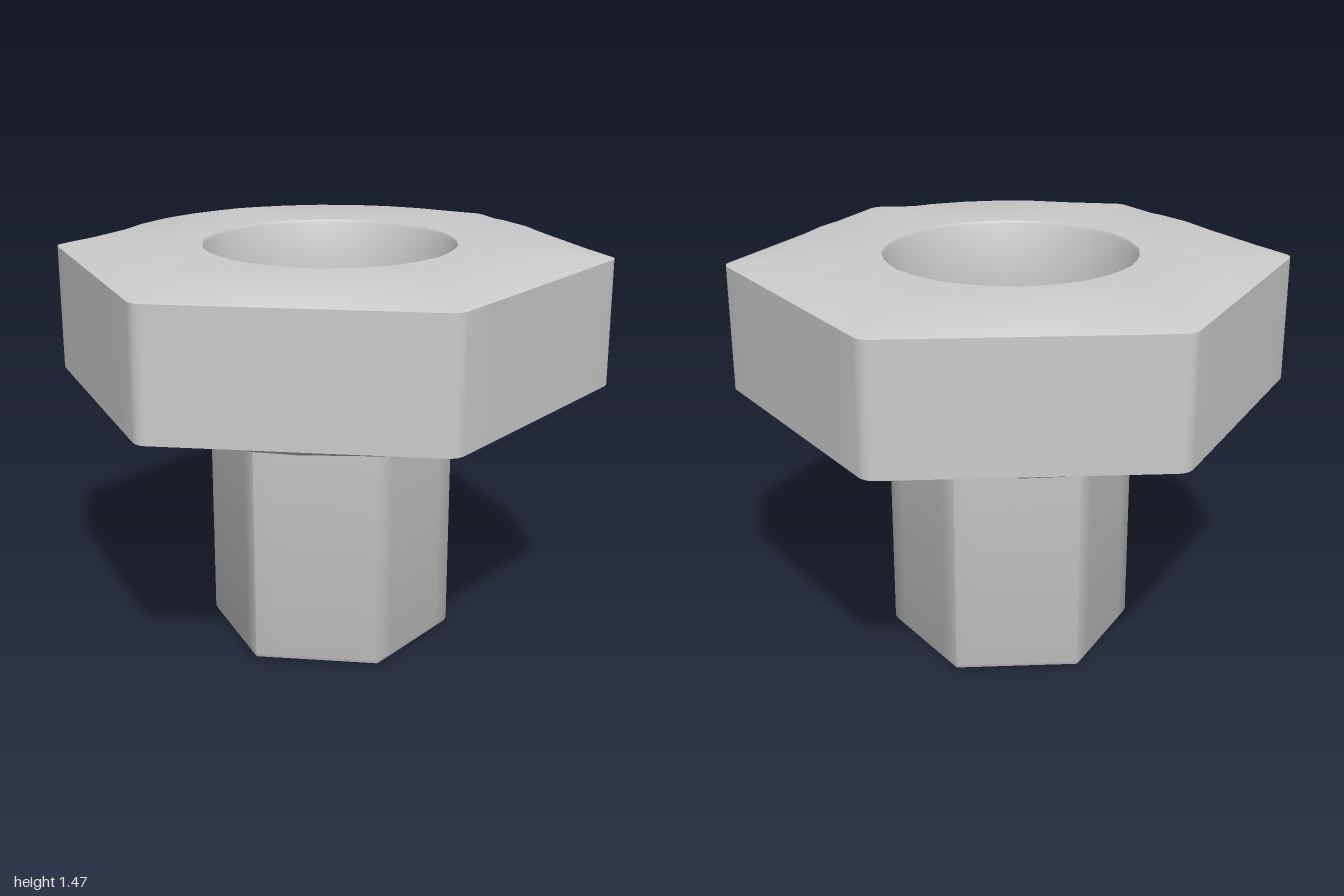
import * as THREE from 'three';
import { toCreasedNormals } from 'three/addons/utils/BufferGeometryUtils.js';

const CREASE = 0.7;
const HOLE_SIDES = 24;

// Hexagon outline with softened corners, one corner on +x
function roundedHex(apothem, r) {
  const points = [];
  const centre = (apothem - r) / Math.cos(Math.PI / 6);
  for (let i = 0; i < 6; i++) {
    const a = i * Math.PI / 3;
    for (let k = 0; k <= 4; k++) {
      const b = a - Math.PI / 6 + k * Math.PI / 12;
      points.push([centre * Math.cos(a) + r * Math.cos(b), centre * Math.sin(a) + r * Math.sin(b)]);
    }
    // extra points along the flat
    const [sx, sz] = points[points.length - 1];
    const n = a + Math.PI / 3;
    const ex = centre * Math.cos(n) + r * Math.cos(a + Math.PI / 6);
    const ez = centre * Math.sin(n) + r * Math.sin(a + Math.PI / 6);
    for (let k = 1; k < 6; k++) points.push([sx + (ex - sx) * k / 6, sz + (ez - sz) * k / 6]);
  }
  return points;
}

// Projects an outline onto a circle, or onto a regular polygon when sides are given
function project(outline, radius, sides) {
  return outline.map(([x, z]) => {
    const a = Math.atan2(z, x);
    let r = radius;
    if (sides) {
      const step = 2 * Math.PI / sides;
      const local = ((a % step) + step) % step - step / 2;
      r *= Math.cos(step / 2) / Math.cos(local);
    }
    return [r * Math.cos(a), r * Math.sin(a)];
  });
}

// Skin through closed rings of equal point count: [outline, y]
function loft(rings) {
  const n = rings[0][0].length;
  const positions = [], index = [];
  rings.forEach(([outline, y]) => outline.forEach(([x, z]) => positions.push(x, y, z)));
  for (let j = 0; j < rings.length - 1; j++) {
    for (let i = 0; i < n; i++) {
      const a = j * n + i, c = j * n + (i + 1) % n;
      index.push(a, a + n, c, a + n, c + n, c);
    }
  }
  const geometry = new THREE.BufferGeometry();
  geometry.setAttribute('position', new THREE.Float32BufferAttribute(positions, 3));
  geometry.setIndex(index);
  return toCreasedNormals(geometry, CREASE);
}

function recess(profile) {
  const points = profile.map(([x, y]) => new THREE.Vector2(x, y));
  return toCreasedNormals(new THREE.LatheGeometry(points, HOLE_SIDES), CREASE);
}

export function createModel() {
  const group = new THREE.Group();
  const material = new THREE.MeshStandardMaterial({ color: 0xcccccc });
  const add = (name, geometry) => {
    const mesh = new THREE.Mesh(geometry, material);
    mesh.name = name;
    group.add(mesh);
  };

  // Hexagonal head, chamfered from a circle out to the hexagon edge
  const hex = roundedHex(0.873, 0.06);
  const rim = project(hex, 0.457, HOLE_SIDES);
  const circle = project(hex, 0.8);
  add('head', loft([
    [rim, 0.94], [circle, 0.94], [hex, 0.975],
    [hex, 1.43], [circle, 1.465], [rim, 1.465],
  ]));

  // Round recesses above and below the web in the middle of the head
  add('topRecess', recess([[0.457, 1.465], [0.45, 1.455], [0.45, 1.2], [0, 1.2]]));
  add('bottomRecess', recess([[0, 1.2], [0.45, 1.2], [0.45, 0.95], [0.457, 0.94]]));

  // Hexagonal shank with a softened lower edge
  const foot = roundedHex(0.37, 0.01);
  add('shank', loft([
    [foot.map(() => [0, 0]), 0], [foot, 0],
    [roundedHex(0.384, 0.01), 0.006], [roundedHex(0.39, 0.01), 0.02],
    [roundedHex(0.39, 0.01), 1.2],
  ]));

  return group;
}
